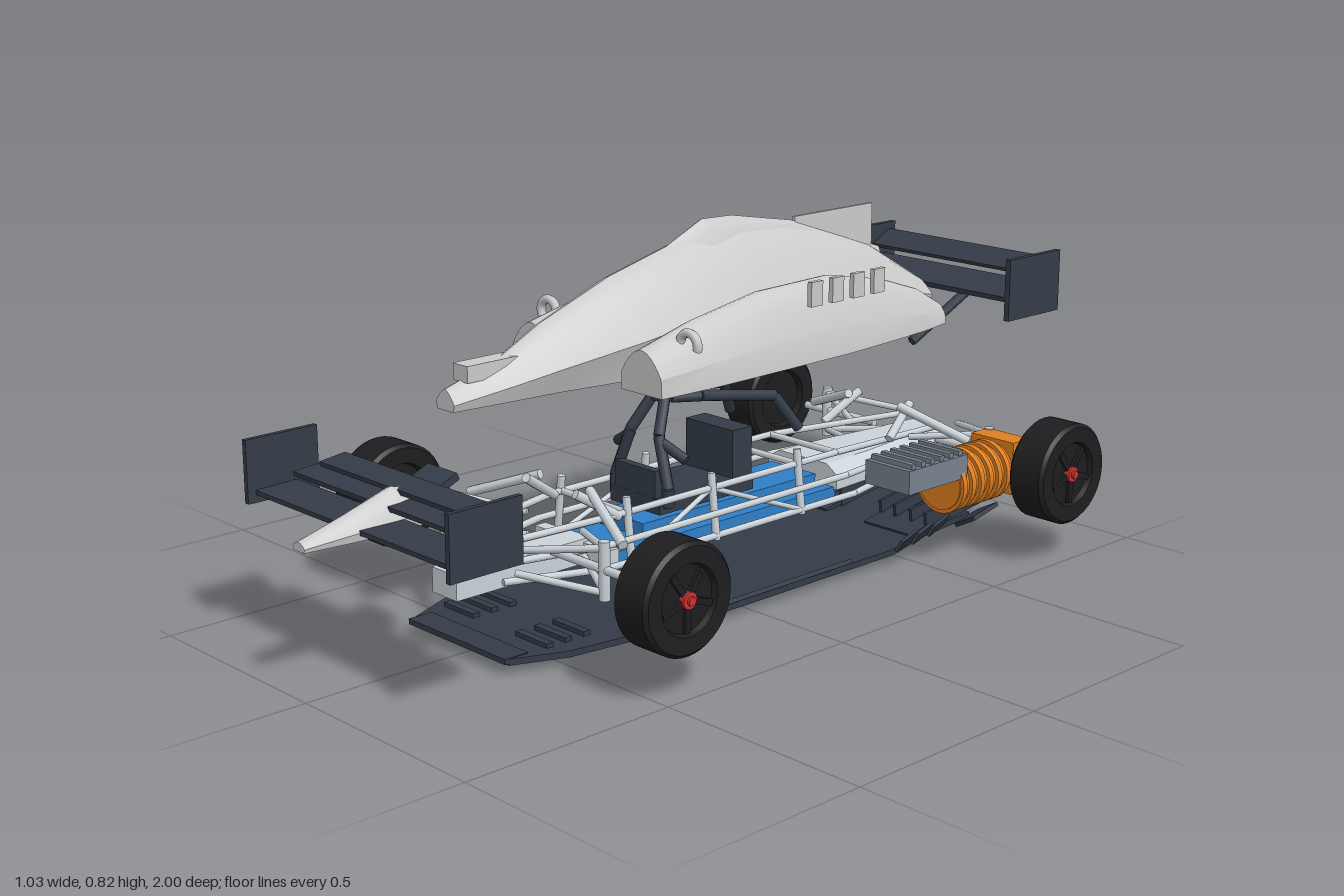
import * as THREE from 'three';
import { toCreasedNormals } from 'three/addons/utils/BufferGeometryUtils.js';

const paint = (color) => new THREE.MeshStandardMaterial({ color, side: THREE.DoubleSide });
const GREY = paint(0xcccccc), ALLOY = paint(0xcbd3d9), DARK = paint(0x343c48), BLUE = paint(0x2f7fc8);
const ORANGE = paint(0xe08020), STEEL = paint(0x76818e), RUBBER = paint(0x1e1e20), RED = paint(0xd03030);
const SIDES = [-1, 1];

function add(parent, name, geo, mat, pos = [0, 0, 0], rot = [0, 0, 0]) {
  const m = new THREE.Mesh(geo, mat);
  m.name = name;
  m.position.set(...pos);
  m.rotation.set(...rot);
  parent.add(m);
  return m;
}
const box = (p, name, mat, size, pos, rot) => add(p, name, new THREE.BoxGeometry(...size), mat, pos, rot);

// straight round bar between two points
function rod(p, name, mat, a, b, r = 0.008, seg = 8) {
  const A = new THREE.Vector3(...a), B = new THREE.Vector3(...b), d = B.clone().sub(A);
  const m = add(p, name, new THREE.CylinderGeometry(r, r, d.length(), seg), mat);
  m.position.copy(A).add(B).multiplyScalar(0.5);
  m.quaternion.setFromUnitVectors(new THREE.Vector3(0, 1, 0), d.normalize());
  return m;
}

// skin over closed loops, ordered from front to rear, with end caps
function loft(loops) {
  const pos = [], n = loops[0].length;
  const tri = (...v) => v.forEach((q) => pos.push(...q));
  for (let k = 0; k < loops.length - 1; k++) for (let i = 0; i < n; i++) {
    const j = (i + 1) % n, a = loops[k], b = loops[k + 1];
    tri(a[i], b[i], b[j]);
    tri(a[i], b[j], a[j]);
  }
  [loops[0], loops[loops.length - 1]].forEach((l, e) => {
    const c = [0, 1, 2].map((ax) => l.reduce((s, q) => s + q[ax], 0) / n);
    for (let i = 0; i < n; i++) {
      const j = (i + 1) % n;
      e ? tri(c, l[j], l[i]) : tri(c, l[i], l[j]);
    }
  });
  const g = new THREE.BufferGeometry();
  g.setAttribute('position', new THREE.Float32BufferAttribute(pos, 3));
  g.computeVertexNormals();
  return toCreasedNormals(g, 0.35);
}

// arched section: flat base, flared flank, curved crown
function arch([z, cx, wBase, w, y0, yMid, top], power = 1.6, n = 20) {
  const l = [[cx + wBase, y0, z]];
  for (let i = 0; i <= n; i++) {
    const c = Math.cos((i / n) * Math.PI);
    l.push([cx + w * c, yMid + (top - yMid) * (1 - Math.abs(c) ** power), z]);
  }
  l.push([cx - wBase, y0, z]);
  return l;
}

function bodyShell(root) {
  const g = new THREE.Group();
  g.name = 'bodyShell';
  root.add(g);
  add(g, 'mainCowl', loft([
    [0.64, 0, 0.025, 0.03, 0.53, 0.545, 0.574], [0.5, 0, 0.04, 0.052, 0.53, 0.565, 0.615],
    [0.39, 0, 0.05, 0.075, 0.53, 0.585, 0.67], [0.2, 0, 0.08, 0.108, 0.53, 0.615, 0.74],
    [0, 0, 0.1, 0.121, 0.53, 0.645, 0.79], [-0.16, 0, 0.1, 0.121, 0.53, 0.65, 0.805],
    [-0.31, 0, 0.1, 0.115, 0.53, 0.645, 0.785], [-0.45, 0, 0.09, 0.102, 0.53, 0.63, 0.755],
    [-0.61, 0, 0.07, 0.083, 0.53, 0.6, 0.70], [-0.79, 0, 0.045, 0.053, 0.53, 0.56, 0.597],
  ].map((s) => arch(s))), GREY);
  // tapering spine with a raised scoop, and the thin fin
  add(g, 'scoopSpine', loft([
    [0.05, 0, 0.02, 0.016, 0.73, 0.74, 0.775], [-0.07, 0, 0.045, 0.037, 0.74, 0.775, 0.828],
    [-0.16, 0, 0.045, 0.035, 0.74, 0.775, 0.825], [-0.35, 0, 0.03, 0.024, 0.72, 0.75, 0.79],
    [-0.65, 0, 0.012, 0.01, 0.64, 0.66, 0.69],
  ].map((s) => arch(s))), GREY);
  box(g, 'fin', GREY, [0.008, 0.13, 0.26], [0, 0.732, -0.49]);
  box(g, 'noseBlock', GREY, [0.046, 0.035, 0.16], [0, 0.6, 0.52]);
  for (const s of SIDES) {
    add(g, 'sidePod', loft([
      [0.27, 0.175, 0.062, 0.06, 0.53, 0.57, 0.622], [0.12, 0.17, 0.073, 0.068, 0.53, 0.58, 0.66],
      [-0.08, 0.165, 0.075, 0.07, 0.53, 0.585, 0.692], [-0.3, 0.16, 0.075, 0.068, 0.53, 0.585, 0.695],
      [-0.48, 0.16, 0.06, 0.056, 0.53, 0.575, 0.66], [-0.6, 0.16, 0.045, 0.04, 0.53, 0.565, 0.62],
      [-0.68, 0.16, 0.028, 0.025, 0.53, 0.55, 0.575],
    ].map(([z, x, ...r]) => arch([z, x * s, ...r], 2))), GREY);
    add(g, 'mirror', new THREE.TorusGeometry(0.026, 0.01, 8, 20, Math.PI * 1.4), GREY, [s * 0.222, 0.626, 0.18], [0, 0, -0.3]);
    for (let i = 0; i < 4; i++)
      box(g, 'louvre', GREY, [0.012, 0.055, 0.036], [s * 0.222, 0.678, -0.197 - i * 0.067]);
  }
}

function wings(root) {
  const rear = new THREE.Group(), front = new THREE.Group();
  rear.name = 'rearWing';
  front.name = 'frontWing';
  root.add(rear, front);
  box(rear, 'mainPlane', DARK, [0.51, 0.012, 0.13], [0, 0.58, -0.895], [0.15, 0, 0]);
  box(rear, 'flap', DARK, [0.51, 0.01, 0.07], [0, 0.635, -0.95], [0.45, 0, 0]);
  for (const s of SIDES) {
    box(rear, 'endPlate', DARK, [0.014, 0.146, 0.188], [s * 0.26, 0.598, -0.906]);
    rod(rear, 'wingStrut', DARK, [s * 0.077, 0.465, -0.69], [s * 0.1, 0.57, -0.87], 0.012, 6);
    box(front, 'endPlate', DARK, [0.012, 0.137, 0.175], [s * 0.335, 0.382, 0.812]);
  }
  box(front, 'mainPlane', DARK, [0.66, 0.01, 0.1], [0, 0.337, 0.83], [0.03, 0, 0]);
  box(front, 'middlePlane', DARK, [0.6, 0.01, 0.075], [0, 0.37, 0.77], [0.08, 0, 0]);
  box(front, 'upperPlane', DARK, [0.51, 0.01, 0.065], [0, 0.395, 0.74], [0.12, 0, 0]);
  box(front, 'noseMount', DARK, [0.095, 0.016, 0.08], [0, 0.39, 0.685], [0.4, 0, 0]);
  add(front, 'noseCone', loft([
    [1, 0, 0.018, 0.02, 0.318, 0.326, 0.337], [0.89, 0, 0.03, 0.033, 0.318, 0.335, 0.367],
    [0.78, 0, 0.038, 0.042, 0.318, 0.345, 0.402], [0.66, 0, 0.042, 0.047, 0.325, 0.345, 0.375],
  ].map((s) => arch(s, 2, 12))), GREY);
}

function chassis(root) {
  const g = new THREE.Group();
  g.name = 'chassis';
  root.add(g);
  box(g, 'lowerTray', BLUE, [0.2, 0.035, 0.69], [0, 0.153, -0.06]);
  box(g, 'batteryPack', BLUE, [0.14, 0.035, 0.54], [0, 0.185, -0.1]);
  box(g, 'frontBox', ALLOY, [0.08, 0.055, 0.36], [0, 0.167, 0.475]);
  box(g, 'frontBulkhead', ALLOY, [0.24, 0.05, 0.03], [0, 0.162, 0.3]);
  add(g, 'gearCasing', loft([[-0.4, 0.11], [-0.55, 0.1], [-0.7, 0.075], [-0.84, 0.06]].map(([z, w]) =>
    [[w, 0.165, z], [w, 0.2, z], [w * 0.7, 0.222, z], [-w * 0.7, 0.222, z], [-w, 0.2, z], [-w, 0.165, z]])), ALLOY);
  for (const s of SIDES) {
    // tube frame
    for (const [y, x, zf, zr] of [[0.255, 0.105, 0.28, -0.4], [0.2, 0.122, 0.3, -0.42], [0.15, 0.122, 0.32, -0.45]]) {
      rod(g, 'rail', ALLOY, [s * x, y, zf], [s * x, y, zr]);
      rod(g, 'frontRail', ALLOY, [s * x, y, zf], [s * 0.06, y * 0.8 + 0.04, 0.55]);
      rod(g, 'rearRail', ALLOY, [s * x, y, zr], [s * 0.07, y * 0.6 + 0.08, -0.82]);
    }
    for (const z of [0.25, 0, -0.27])
      rod(g, 'post', ALLOY, [s * 0.122, 0.14, z], [s * 0.105, 0.29, z], 0.009);
    rod(g, 'brace', ALLOY, [s * 0.122, 0.15, 0.25], [s * 0.105, 0.255, 0], 0.006);
    rod(g, 'brace', ALLOY, [s * 0.122, 0.15, -0.27], [s * 0.105, 0.255, 0], 0.006);
    // suspension
    for (const [z, d] of [[0.45, -1], [-0.765, 1]]) {
      rod(g, 'upright', ALLOY, [s * 0.26, 0.15, z], [s * 0.26, 0.275, z], 0.012);
      rod(g, 'axle', ALLOY, [s * 0.1, 0.215, z], [s * 0.33, 0.215, z], 0.01);
      for (const o of [-0.09, 0.09]) {
        rod(g, 'upperArm', ALLOY, [s * 0.26, 0.26, z], [s * 0.09, 0.235, z + o]);
        rod(g, 'lowerArm', ALLOY, [s * 0.26, 0.165, z], [s * 0.09, 0.185, z + o]);
      }
      rod(g, 'pushRod', ALLOY, [s * 0.25, 0.25, z + d * 0.06], [s * 0.08, 0.315, z + d * 0.12], 0.011);
      rod(g, 'rocker', ALLOY, [s * 0.08, 0.315, z + d * 0.08], [s * 0.105, 0.25, z + d * 0.18], 0.011);
    }
  }
  for (const z of [0.25, -0.27, -0.4])
    rod(g, 'crossTube', ALLOY, [-0.105, 0.255, z], [0.105, 0.255, z]);
}

function cockpit(root) {
  const g = new THREE.Group();
  g.name = 'cockpit';
  root.add(g);
  box(g, 'seatBase', DARK, [0.16, 0.035, 0.285], [0, 0.232, -0.012]);
  box(g, 'seatBack', DARK, [0.15, 0.11, 0.06], [0, 0.305, -0.125]);
  box(g, 'dashPanel', DARK, [0.13, 0.08, 0.02], [0, 0.27, 0.12]);
  box(g, 'guardTop', DARK, [0.046, 0.02, 0.08], [0, 0.455, 0.03]);
  for (const s of SIDES) {
    const arm = [[0.02, 0.452, 0.04], [0.05, 0.45, -0.02], [0.08, 0.42, -0.22], [0.11, 0.34, -0.27]];
    const leg = [[0.02, 0.45, 0.06], [0.045, 0.38, 0.1], [0.085, 0.27, 0.11], [0.085, 0.23, 0.11]];
    for (const path of [arm, leg]) for (let i = 0; i < 3; i++)
      rod(g, 'guardBar', DARK, [s * path[i][0], ...path[i].slice(1)], [s * path[i + 1][0], ...path[i + 1].slice(1)], 0.013, 8);
    rod(g, 'guardBrace', DARK, [s * 0.045, 0.37, 0.1], [s * 0.11, 0.335, 0.08], 0.012);
  }
}

function motor(root) {
  const g = new THREE.Group();
  g.name = 'powerUnit';
  root.add(g);
  const tilt = [Math.PI / 2, 0, 0];
  add(g, 'motorDrum', new THREE.CylinderGeometry(0.062, 0.062, 0.2, 28), ORANGE, [0.315, 0.202, -0.62], tilt);
  for (let i = 0; i < 6; i++)
    add(g, 'coolingRing', new THREE.CylinderGeometry(0.071, 0.071, 0.014, 28), ORANGE, [0.315, 0.202, -0.53 - i * 0.031], tilt);
  box(g, 'gearHousing', ORANGE, [0.125, 0.125, 0.06], [0.315, 0.21, -0.738]);
  box(g, 'inverter', STEEL, [0.13, 0.055, 0.2], [0.311, 0.252, -0.445]);
  for (let i = 0; i < 6; i++)
    box(g, 'inverterFin', STEEL, [0.12, 0.012, 0.014], [0.311, 0.285, -0.365 - i * 0.032]);
}

function wheel(root, s, z) {
  const g = new THREE.Group();
  g.name = 'wheel';
  g.position.set(s * 0.461, 0.215, z);
  g.rotation.z = -s * Math.PI / 2;
  root.add(g);
  const prof = [[0, -0.03], [0.07, -0.03], [0.075, -0.047], [0.11, -0.048], [0.118, -0.04], [0.118, 0.04],
    [0.11, 0.048], [0.075, 0.047], [0.07, 0.035], [0, 0.035]].map((q) => new THREE.Vector2(...q));
  add(g, 'tyre', toCreasedNormals(new THREE.LatheGeometry(prof, 40), 0.5), RUBBER);
  for (let i = 0; i < 5; i++) {
    const a = (i / 5) * Math.PI * 2;
    box(g, 'spoke', RUBBER, [0.065, 0.008, 0.014], [Math.cos(a) * 0.036, 0.039, Math.sin(a) * 0.036], [0, -a, 0]);
  }
  add(g, 'hub', new THREE.CylinderGeometry(0.018, 0.018, 0.02, 12), RED, [0, 0.039, 0]);
  add(g, 'wheelNut', new THREE.CylinderGeometry(0.01, 0.01, 0.02, 6), RED, [0, 0.046, 0]);
}

function floor(root) {
  const g = new THREE.Group();
  g.name = 'floor';
  root.add(g);
  const half = [[0.16, 0.62], [0.21, 0.5], [0.24, 0.28], [0.24, -0.45], [0.2, -0.62], [0.18, -0.8]];
  const outline = [...half, ...half.map(([x, z]) => [-x, z]).reverse()].map(([x, z]) => new THREE.Vector2(x, -z));
  const plate = new THREE.ExtrudeGeometry(new THREE.Shape(outline), { depth: 0.014, bevelEnabled: false });
  add(g, 'floorPlate', plate.rotateX(-Math.PI / 2), DARK, [0, 0.026, 0]);
  box(g, 'plank', DARK, [0.062, 0.014, 1.34], [0, 0.013, -0.16]);
  box(g, 'frontLip', DARK, [0.32, 0.012, 0.06], [0, 0.036, 0.6]);
  for (const s of SIDES) {
    for (const x of [0.08, 0.135, 0.185])
      box(g, 'underStrake', DARK, [0.02, 0.012, 1], [s * x, 0.022, -0.1]);
    box(g, 'edgeWing', DARK, [0.04, 0.01, 0.6], [s * 0.235, 0.043, 0], [0, 0, s * 0.5]);
    for (let i = 0; i < 3; i++) {
      box(g, 'edgeVane', DARK, [0.008, 0.03, 0.1], [s * (0.258 - i * 0.012), 0.06, -0.48 - i * 0.07], [0, s * 0.35, -s * 0.5]);
      box(g, 'frontSlat', DARK, [0.1, 0.01, 0.018], [s * 0.12, 0.046, 0.42 + i * 0.05]);
    }
    // rising diffuser with fences
    box(g, 'diffuserRamp', DARK, [0.145, 0.01, 0.32], [s * 0.135, 0.07, -0.71], [0.19, 0, 0]);
    for (const x of [0.065, 0.11, 0.16, 0.205])
      box(g, 'diffuserFence', DARK, [0.008, 0.045, 0.27], [s * x, 0.082, -0.74], [0.14, 0, 0]);
    box(g, 'diffuserWinglet', DARK, [0.07, 0.01, 0.09], [s * 0.235, 0.055, -0.76], [0.2, 0, s * 0.5]);
  }
}

export function createModel() {
  const root = new THREE.Group();
  root.name = 'explodedRacingCar';
  [bodyShell, wings, chassis, cockpit, motor, floor].forEach((build) => build(root));
  for (const s of SIDES) for (const z of [0.45, -0.763]) wheel(root, s, z);
  return root;
}
